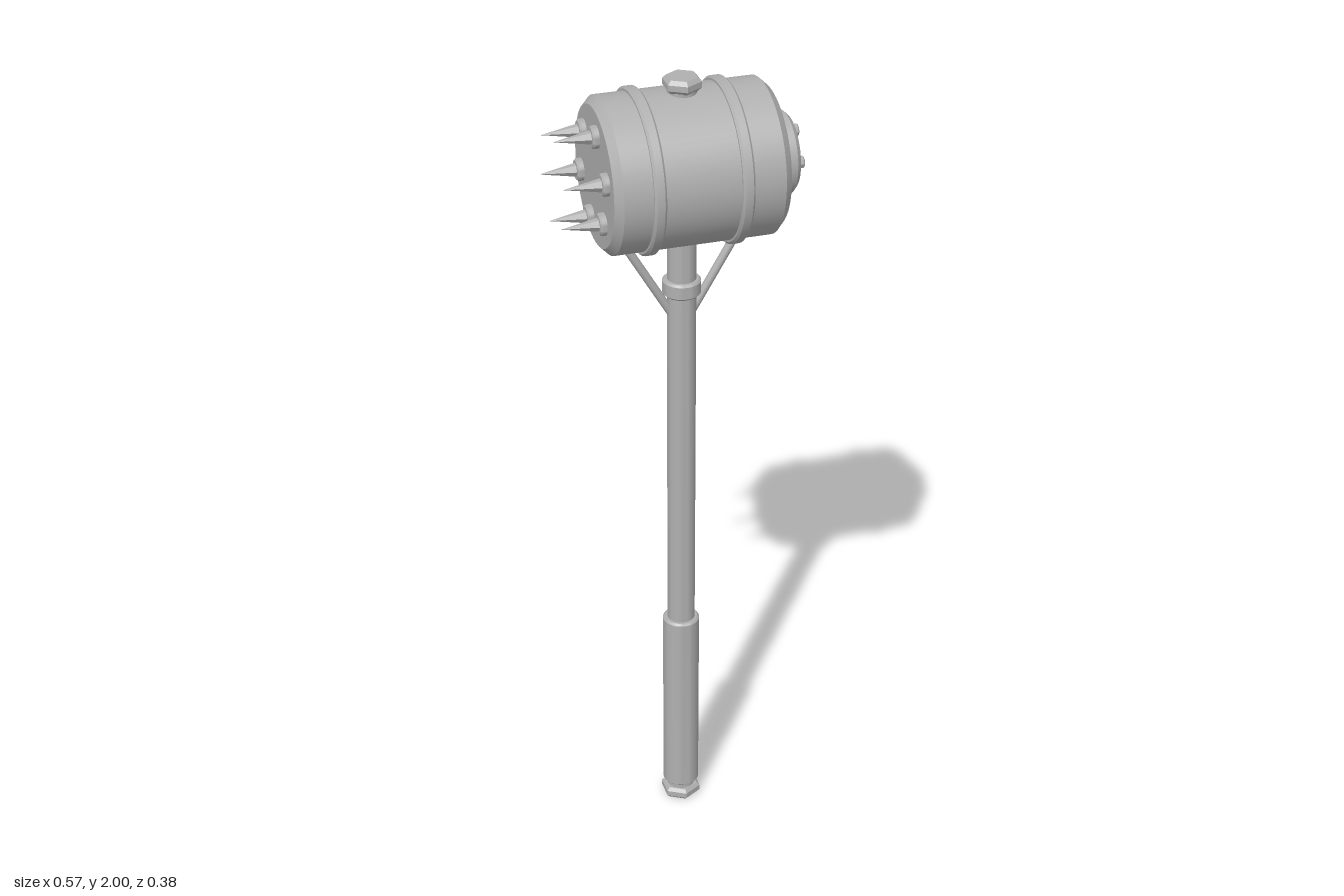
import * as THREE from 'three';
import { toCreasedNormals } from 'three/addons/utils/BufferGeometryUtils.js';

export function createModel() {
  const model = new THREE.Group();
  model.name = 'warHammer';
  const steel = new THREE.MeshStandardMaterial({ name: 'steelGrey', color: 0xb0b0b0 });
  const axisX = 0.018, headY = 1.785;

  // Solid of revolution around y from [radius, height] pairs
  const turned = (profile, sides) => toCreasedNormals(
    new THREE.LatheGeometry(profile.map(([r, h]) => new THREE.Vector2(r, h)), sides), 0.55);

  // Closed disc profile with chamfered rims
  const disc = (r, h0, h1, c) => [[0, h0], [r - c, h0], [r, h0 + c], [r, h1 - c], [r - c, h1], [0, h1]];

  const add = (name, geometry, x = 0, y = 0, z = 0, parent = model) => {
    const mesh = new THREE.Mesh(geometry, steel);
    mesh.name = name;
    mesh.position.set(x, y, z);
    parent.add(mesh);
    return mesh;
  };

  // Handle, grip and the nuts at both ends
  add('shaft', turned([[0, 0.03], [0.034, 0.03], [0.034, 1.97], [0, 1.97]], 32), axisX);
  add('grip', turned(disc(0.045, 0.045, 0.555, 0.005), 32), axisX);
  add('pommelNut', turned(disc(0.05, 0, 0.03, 0.008), 6), axisX);
  add('topNut', turned(disc(0.045, 1.968, 2, 0.009), 6), axisX);

  // Clamp below the head with its screw at the back
  add('collar', turned(disc(0.045, 1.462, 1.502, 0.005), 32), axisX);
  const screw = turned(disc(0.014, 0, 0.02, 0.003), 8);
  screw.rotateX(-Math.PI / 2);
  add('collarScrew', screw, axisX, 1.482, -0.038);

  // Diagonal braces from shaft to head
  for (const s of [-1, 1]) {
    const low = new THREE.Vector3(axisX + s * 0.026, 1.415, 0);
    const high = new THREE.Vector3(axisX + s * 0.148, 1.625, 0);
    const span = high.clone().sub(low);
    const brace = add(s < 0 ? 'rightBrace' : 'leftBrace',
      new THREE.CylinderGeometry(0.01, 0.01, span.length(), 12));
    brace.position.copy(low).add(high).multiplyScalar(0.5);
    brace.quaternion.setFromUnitVectors(new THREE.Vector3(0, 1, 0), span.normalize());
  }

  // Head group: parts are turned around y, then laid along x
  const head = new THREE.Group();
  head.name = 'head';
  head.position.y = headY;
  model.add(head);
  const along = (name, profile, sides, y = 0, z = 0) =>
    add(name, turned(profile, sides).rotateZ(-Math.PI / 2), 0, y, z, head);

  along('barrel', disc(0.18, -0.185, 0.222, 0.018), 64);
  for (const x of [-0.1, 0.102]) along('band', disc(0.19, x, x + 0.028, 0.005), 64);

  // Striking plate with a ring of five bolts
  along('strikingPlate', disc(0.096, 0.215, 0.27, 0.01), 48);
  for (let i = 0; i < 5; i++) {
    const a = i * Math.PI * 2 / 5;
    along('plateBolt', disc(0.015, 0.265, 0.284, 0.003), 8, 0.062 * Math.sin(a), 0.062 * Math.cos(a));
  }

  // Six spikes on round seats
  for (let i = 0; i < 6; i++) {
    const a = 0.275 + i * Math.PI / 3;
    const y = 0.112 * Math.sin(a), z = 0.112 * Math.cos(a);
    along('spikeSeat', disc(0.026, -0.2, -0.18, 0.004), 24, y, z);
    along('spike', [[0, -0.285], [0.016, -0.198], [0, -0.198]], 6, y, z);
  }
  return model;
}
